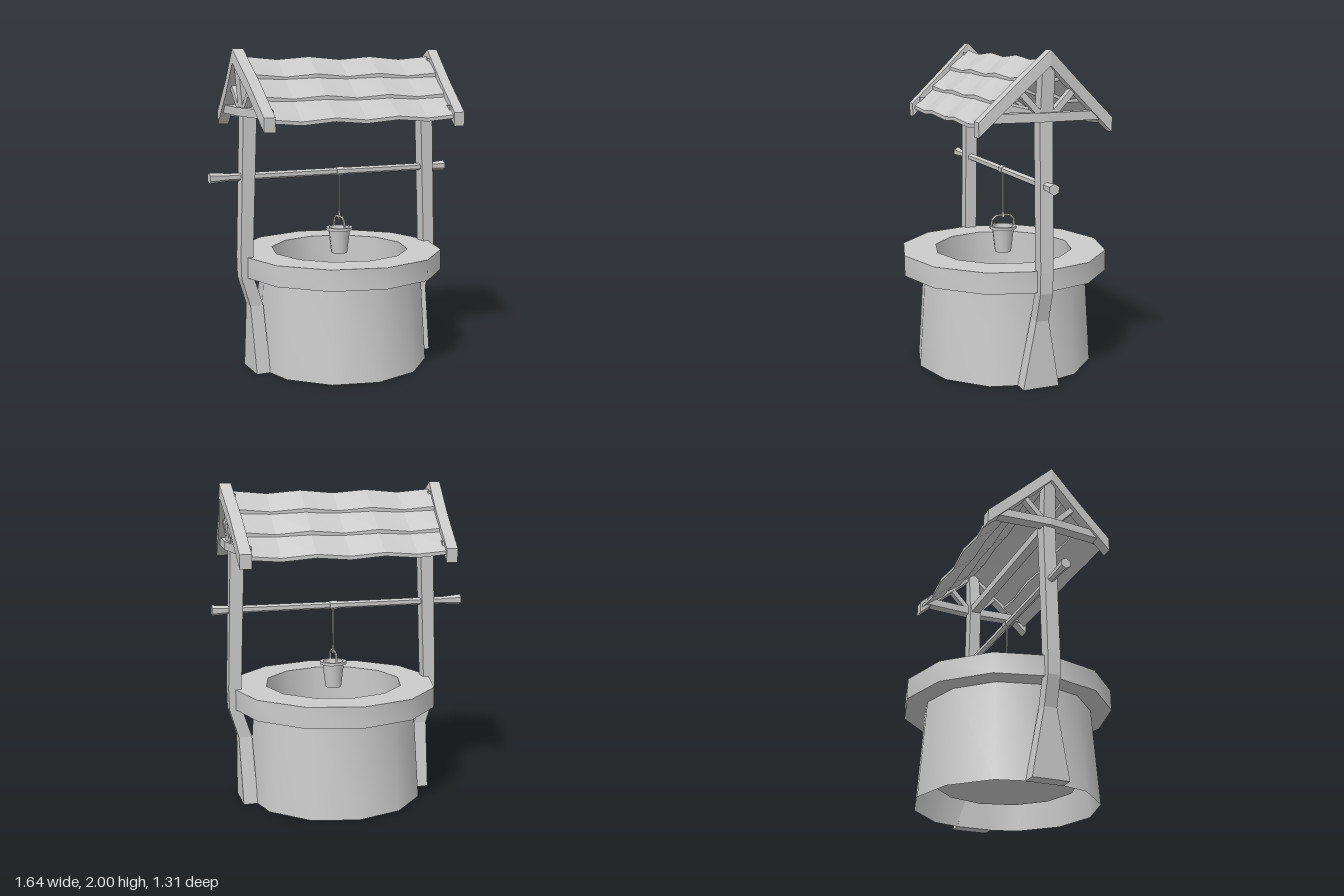
import * as THREE from 'three';
import { toCreasedNormals } from 'three/addons/utils/BufferGeometryUtils.js';

const flat = new THREE.MeshStandardMaterial({ color: 0xcccccc, flatShading: true });
const smooth = new THREE.MeshStandardMaterial({ color: 0xcccccc, side: THREE.DoubleSide });

function add(parent, name, geometry, material = flat) {
  const mesh = new THREE.Mesh(geometry, material);
  mesh.name = name;
  parent.add(mesh);
  return mesh;
}

// Solid through four-cornered sections; corners run counter-clockwise seen from the far end
function loft(sections) {
  const pos = [];
  const quad = (a, b, c, d) => [a, b, c, a, c, d].forEach(p => pos.push(...p));
  for (let i = 0; i < sections.length - 1; i++) {
    const s = sections[i], t = sections[i + 1];
    for (let k = 0; k < 4; k++) {
      const n = (k + 1) % 4;
      quad(s[k], s[n], t[n], t[k]);
    }
  }
  const a = sections[0], b = sections[sections.length - 1];
  quad(a[0], a[3], a[2], a[1]);
  quad(b[0], b[1], b[2], b[3]);
  const g = new THREE.BufferGeometry();
  g.setAttribute('position', new THREE.Float32BufferAttribute(pos, 3));
  g.computeVertexNormals();
  return g;
}

// Upright section for posts, and cross-section for beams running along z
const level = ([y, x, hx, hz]) =>
  [[x - hx, y, hz], [x + hx, y, hz], [x + hx, y, -hz], [x - hx, y, -hz]];
const across = (z, x, hx, y0, y1) =>
  [[x - hx, y0, z], [x + hx, y0, z], [x + hx, y1, z], [x - hx, y1, z]];

const turned = (profile, sides, start = 0) =>
  new THREE.LatheGeometry(profile.map(p => new THREE.Vector2(...p)), sides, start);

// Post, gable and braces of one end, built on the +x side
function makeEnd() {
  const end = new THREE.Group();
  add(end, 'post', loft([
    [0, 0.575, 0.045, 0.115], [0.42, 0.588, 0.042, 0.04], [0.6, 0.645, 0.04, 0.04],
    [0.73, 0.648, 0.04, 0.04], [1.6, 0.617, 0.043, 0.04], [1.94, 0.655, 0.034, 0.038],
  ].map(level)));

  // Bent rafters meeting at the peak
  add(end, 'rafters', loft(
    [[-0.41, 0.635], [-0.2, 0.65], [0, 0.675], [0.2, 0.65], [0.41, 0.635]].map(([z, x]) => {
      const top = 2 - 0.95 * Math.abs(z);
      return across(z, x, 0.036, top - 0.086, top);
    })));

  // Tie beam bowing outwards
  add(end, 'tieBeam', loft(
    [[-0.36, 0.625], [-0.18, 0.638], [0, 0.652], [0.18, 0.638], [0.36, 0.625]]
      .map(([z, x]) => across(z, x, 0.034, 1.6, 1.652))));

  for (const s of [-1, 1]) {
    const brace = add(end, 'brace', new THREE.BoxGeometry(0.045, 0.22, 0.035));
    brace.position.set(0.643, 1.705, s * 0.1);
    brace.rotation.x = s * 0.76;
  }
  return end;
}

// One roof slope: three overlapping wavy rows
function makeSlope() {
  const slope = new THREE.Group();
  const line = z => 1.945 - 0.97 * z;
  for (let row = 0; row < 3; row++) {
    const z0 = row ? row * 0.13 - 0.02 : 0;
    const z1 = (row + 1) * 0.13;
    const sections = [];
    for (let i = 0; i <= 6; i++) {
      const w = i % 2 ? -0.009 : 0.009;
      const x = (i - 3) * 0.211;
      const y0 = line(z0) + w, y1 = line(z1) + 0.022 + w;
      sections.push([[x, y1 - 0.022, z1 + w * 0.7], [x, y0 - 0.022, z0],
        [x, y0, z0], [x, y1, z1 + w * 0.7]]);
    }
    add(slope, 'shingleRow', loft(sections));
  }
  return slope;
}

function makeBucket() {
  const bucket = new THREE.Group();
  const body = turned([
    [0, 0.7], [0.052, 0.7], [0.07, 0.85], [0.087, 0.85], [0.087, 0.868],
    [0.066, 0.868], [0.048, 0.72], [0, 0.72],
  ], 12);
  add(bucket, 'bucketBody', toCreasedNormals(body, 0.6), smooth);

  const bail = new THREE.CurvePath();
  const pts = [[-0.078, 0.85], [-0.074, 0.91], [-0.045, 0.935], [0.045, 0.935],
    [0.074, 0.91], [0.078, 0.85]].map(([z, y]) => new THREE.Vector3(0, y, z));
  for (let i = 0; i < pts.length - 1; i++) bail.add(new THREE.LineCurve3(pts[i], pts[i + 1]));
  add(bucket, 'bucketHandle', new THREE.TubeGeometry(bail, 30, 0.008, 6));
  return bucket;
}

export function createModel() {
  const model = new THREE.Group();
  model.name = 'well';
  const main = new THREE.Group();
  main.name = 'wellParts';
  main.position.x = 0.045;
  model.add(main);

  // Tapered wall, overhanging rim, shaft and recessed floor
  const wall = turned([
    [0.565, 0], [0.525, 0.6], [0.655, 0.6], [0.655, 0.73], [0.44, 0.73], [0.44, 0.14], [0, 0.14],
  ], 12);
  add(main, 'stoneWall', toCreasedNormals(wall, 0.6), smooth);

  // Two mirrored ends and two slopes
  for (const s of [1, -1]) {
    const end = makeEnd();
    end.name = s > 0 ? 'leftEnd' : 'rightEnd';
    end.scale.x = s;
    main.add(end);
    const slope = makeSlope();
    slope.name = s > 0 ? 'frontRoof' : 'backRoof';
    slope.rotation.y = s > 0 ? 0 : Math.PI;
    main.add(slope);
  }
  add(main, 'crossBeam', new THREE.BoxGeometry(1.24, 0.055, 0.06)).position.y = 1.625;

  // Six-sided axle with flared ends
  const axle = add(main, 'axle', turned([
    [0, -0.822], [0.034, -0.822], [0.024, -0.7], [0.023, 0], [0.024, 0.7], [0.034, 0.822], [0, 0.822],
  ], 6, Math.PI / 6));
  axle.rotation.z = Math.PI / 2;
  axle.position.set(-0.047, 1.23, 0);

  // Rope coil, rope and knot
  const coil = add(main, 'ropeCoil', new THREE.CylinderGeometry(0.028, 0.028, 0.05, 6, 1, false, Math.PI / 6));
  coil.rotation.z = Math.PI / 2;
  coil.position.y = 1.23;
  add(main, 'rope', new THREE.CylinderGeometry(0.006, 0.006, 0.28, 6)).position.y = 1.075;
  add(main, 'ropeKnot', new THREE.CylinderGeometry(0.007, 0.011, 0.05, 6)).position.y = 0.945;

  const bucket = makeBucket();
  bucket.name = 'bucket';
  main.add(bucket);
  return model;
}
